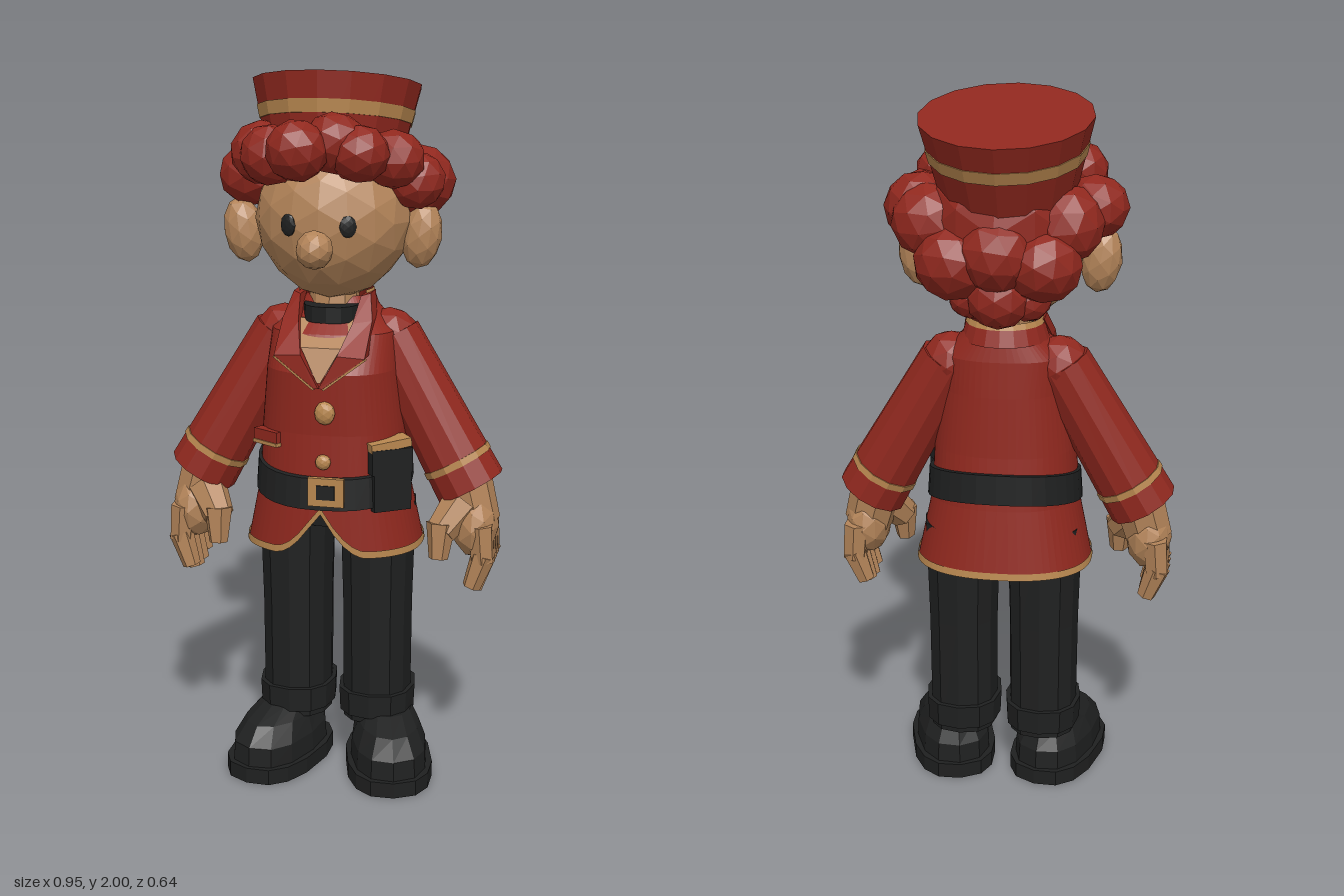
import * as THREE from 'three';

const material = (name, color) => Object.assign(
  new THREE.MeshStandardMaterial({ color, flatShading: true, side: THREE.DoubleSide }), { name });

export function createModel() {
  const red = material('red', 0x90281e);
  const skin = material('skin', 0xb38459);
  const gold = material('gold', 0xb8874f);
  const black = material('black', 0x1f2020);
  const model = new THREE.Group();
  model.name = 'uniformedFigure';

  const add = (name, geometry, mat, parent = model) => {
    const mesh = new THREE.Mesh(geometry, mat);
    mesh.name = name;
    parent.add(mesh);
    return mesh;
  };

  // Superellipse ring; y may be a function of x and z
  const ring = (y, rx, rz, cx = 0, cz = 0, n = 16, p = 2) => {
    const pts = [];
    const bend = (v) => Math.sign(v) * Math.pow(Math.abs(v), 2 / p);
    for (let i = 0; i < n; i++) {
      const a = (i / n) * Math.PI * 2;
      const x = cx + rx * bend(Math.sin(a)), z = cz + rz * bend(Math.cos(a));
      pts.push(new THREE.Vector3(x, typeof y === 'function' ? y(x, z) : y, z));
    }
    return pts;
  };

  // Skin between rings from bottom to top, with optional end caps
  const loft = (rings, caps = true) => {
    const out = [], n = rings[0].length;
    const tri = (...p) => p.forEach((v) => out.push(v.x, v.y, v.z));
    for (let i = 0; i + 1 < rings.length; i++) for (let j = 0; j < n; j++) {
      const k = (j + 1) % n, a = rings[i], b = rings[i + 1];
      tri(a[j], a[k], b[k]);
      tri(a[j], b[k], b[j]);
    }
    if (caps) for (const [r, up] of [[rings[0], false], [rings[rings.length - 1], true]]) {
      const c = r.reduce((s, v) => s.add(v), new THREE.Vector3()).divideScalar(n);
      for (let j = 0; j < n; j++) {
        const k = (j + 1) % n;
        if (up) tri(c, r[j], r[k]); else tri(c, r[k], r[j]);
      }
    }
    const g = new THREE.BufferGeometry();
    g.setAttribute('position', new THREE.Float32BufferAttribute(out, 3));
    g.computeVertexNormals();
    return g;
  };

  // Tapered limb between two points
  const limb = (name, a, b, r0, r1, mat, sides = 7) => {
    const p = new THREE.Vector3(...a), q = new THREE.Vector3(...b), d = q.clone().sub(p);
    const mesh = add(name, new THREE.CylinderGeometry(r1, r0, d.length(), sides), mat);
    mesh.position.copy(p).add(q).multiplyScalar(0.5);
    mesh.quaternion.setFromUnitVectors(new THREE.Vector3(0, 1, 0), d.normalize());
    return mesh;
  };

  // Faceted ellipsoid
  const blob = (name, [x, y, z], [sx, sy, sz], mat) => {
    const mesh = add(name, new THREE.IcosahedronGeometry(1, 1), mat);
    mesh.position.set(x, y, z);
    mesh.scale.set(sx, sy, sz);
    return mesh;
  };

  const box = (name, [x, y, z], [w, h, d], mat, turn = 0) => {
    const mesh = add(name, new THREE.BoxGeometry(w, h, d), mat);
    mesh.position.set(x, y, z);
    mesh.rotation.y = turn;
    return mesh;
  };

  // Legs, cuffs and splayed shoes
  for (const s of [-1, 1]) {
    const x = s * 0.118 + 0.006;
    add('trouserLeg', loft([ring(0.15, 0.098, 0.112, x, -0.022, 12, 2.4), ring(0.5, 0.1, 0.114, x, -0.022, 12, 2.4),
      ring(0.8, 0.108, 0.12, x, -0.02, 12, 2.4)]), black);
    add('trouserCuff', loft([ring(0.17, 0.108, 0.124, x, -0.022, 12, 2.4),
      ring(0.24, 0.111, 0.126, x, -0.022, 12, 2.4)]), black);
    const shoe = new THREE.Group();
    shoe.name = 'shoe';
    shoe.position.set(s * 0.149 + 0.01, 0, 0);
    shoe.rotation.y = s * 0.27;
    model.add(shoe);
    add('sole', loft([ring(0, 0.124, 0.197, 0, 0.05, 14, 2.5), ring(0.045, 0.124, 0.197, 0, 0.05, 14, 2.5)]), black, shoe);
    add('shoeUpper', loft([ring(0.04, 0.11, 0.185, 0, 0.05, 12, 2.4), ring(0.1, 0.107, 0.18, 0, 0.05, 12, 2.4),
      ring(0.15, 0.088, 0.145, 0, 0.04, 12), ring(0.18, 0.07, 0.1, 0, 0, 12)]), black, shoe);
  }
  add('trouserSeat', loft([ring(0.74, 0.17, 0.11, 0.005, -0.02, 14), ring(0.86, 0.16, 0.12, 0, -0.01, 14)]), black);

  // Jacket with a parted, gold-edged skirt
  const body = (y, rx, front, back) => ring(y, rx, (front - back) / 2, 0.004, (front + back) / 2, 64, 2.4);
  const hem = (lift) => (x, z) => 0.69 + lift + (z > 0 ? 0.13 * Math.max(0, 1 - Math.abs(x) / 0.13) ** 1.8 : 0);
  add('jacket', loft([body(hem(0), 0.248, 0.19, -0.2), body(0.88, 0.208, 0.185, -0.172), body(1.03, 0.2, 0.18, -0.155),
    body(1.2, 0.183, 0.187, -0.145), body(1.3, 0.175, 0.135, -0.138), body(1.35, 0.12, 0.07, -0.13),
    body(1.39, 0.085, 0.04, -0.115)], false), red);
  add('jacketHem', loft([body(hem(-0.004), 0.252, 0.194, -0.204), body(hem(0.016), 0.249, 0.194, -0.201)], false), gold);

  // Neck, open shirt front and choker
  add('neck', loft([ring(1.28, 0.075, 0.07, 0, 0.01, 10), ring(1.46, 0.065, 0.065, 0, -0.01, 10)]), skin);
  const choker = (y) => ring(y, 0.08, 0.1, 0.003, 0.02, 14, 2.4);
  add('choker', loft([choker(1.328), choker(1.372)]), black);

  // Slab lofted through rows of inner and outer front points
  const slab = (rows, depth) => loft(rows.map(([a, b]) => [new THREE.Vector3(...a), new THREE.Vector3(...b),
    new THREE.Vector3(b[0], b[1], b[2] - depth), new THREE.Vector3(a[0], a[1], a[2] - depth)]));
  add('openNeckline', slab([[[-0.005, 1.18, 0.196], [0.005, 1.18, 0.196]], [[-0.055, 1.27, 0.168], [0.055, 1.27, 0.168]],
    [[-0.08, 1.335, 0.085], [0.08, 1.335, 0.085]]], 0.04), skin);
  for (const s of [-1, 1]) {
    const side = (rows) => rows.map(([a, b]) => {
      const pair = [a, b].map(([x, y, z]) => [s * x, y, z]);
      return s > 0 ? pair : pair.reverse();
    });
    add('lapel', slab(side([[[0, 1.165, 0.2], [0.012, 1.165, 0.2]], [[0.05, 1.255, 0.195], [0.125, 1.25, 0.19]],
      [[0.075, 1.33, 0.115], [0.125, 1.335, 0.09]], [[0.085, 1.395, 0.05], [0.108, 1.4, 0.03]]]), 0.07), red);
    add('lapelTrim', slab(side([[[0.01, 1.163, 0.201], [0.016, 1.161, 0.201]],
      [[0.122, 1.248, 0.192], [0.128, 1.246, 0.191]]]), 0.02), gold);
  }
  const collar = (name, top, bottom, y, h, mat) => {
    const mesh = add(name, new THREE.CylinderGeometry(top, bottom, h, 12, 1, true, 1.1, Math.PI * 2 - 2.2), mat);
    mesh.position.set(0, y, -0.03);
  };
  collar('collar', 0.102, 0.122, 1.375, 0.06, red);
  collar('collarTrim', 0.103, 0.109, 1.398, 0.016, gold);

  // Belt, buckle, pouch, pocket and buttons
  const belt = (h, g) => ring((x, z) => 0.91 - 0.21 * z + h, 0.214 + g, 0.192 + g, 0.004, 0.006, 32, 2.4);
  add('belt', loft([belt(-0.043, 0.006), belt(0.043, 0)]), black);
  box('buckle', [0.022, 0.877, 0.2], [0.1, 0.08, 0.016], gold);
  box('buckleCentre', [0.022, 0.877, 0.208], [0.05, 0.04, 0.006], black);
  box('pouch', [0.182, 0.885, 0.125], [0.11, 0.13, 0.055], black, 0.6);
  box('pouchFlap', [0.18, 0.96, 0.125], [0.12, 0.07, 0.06], black, 0.6);
  box('pouchTrim', [0.177, 1.005, 0.125], [0.118, 0.024, 0.06], gold, 0.6).rotation.z = 0.1;
  box('pocketFlap', [-0.155, 1.01, 0.135], [0.09, 0.035, 0.03], red, -0.55);
  box('pocketTrim', [-0.155, 0.992, 0.137], [0.092, 0.01, 0.034], gold, -0.55);
  blob('upperButton', [0.015, 1.095, 0.186], [0.029, 0.033, 0.018], gold);
  blob('lowerButton', [0.01, 0.957, 0.186], [0.022, 0.022, 0.015], gold);

  // Sleeves and curled hands
  for (const s of [-1, 1]) {
    const at = (t) => [s * (0.155 + 0.235 * t), 1.275 - 0.415 * t, -0.03 + 0.025 * t];
    blob('shoulder', [s * 0.15, 1.27, -0.03], [0.083, 0.083, 0.085], red);
    limb('sleeve', at(0), at(1), 0.083, 0.1, red, 12);
    limb('sleeveStripe', at(0.81), at(0.85), 0.1, 0.1005, gold, 12);
    limb('wrist', [s * 0.372, 0.89, 0], [s * 0.408, 0.76, 0.01], 0.076, 0.07, skin, 8);
    blob('palm', [s * 0.408, 0.755, 0.012], [0.066, 0.095, 0.092], skin);
    [-0.055, -0.014, 0.028, 0.068].forEach((z, i) => {
      const drop = [0.02, 0.005, 0, 0.015][i];
      limb('fingerBase', [s * 0.43, 0.77, z], [s * 0.438, 0.665, z], 0.037, 0.034, skin, 6);
      limb('fingerTip', [s * 0.44, 0.685, z], [s * 0.408, 0.575 + drop, z + 0.005], 0.036, 0.026, skin, 6);
    });
    limb('thumbBase', [s * 0.37, 0.82, 0.035], [s * 0.32, 0.75, 0.085], 0.058, 0.044, skin, 7);
    limb('thumbTip', [s * 0.322, 0.775, 0.085], [s * 0.318, 0.675, 0.1], 0.042, 0.027, skin, 6);
  }

  // Head with a narrowed jaw
  const skull = new THREE.IcosahedronGeometry(1, 2), p = skull.attributes.position;
  for (let i = 0; i < p.count; i++) {
    const low = Math.max(0, -p.getY(i));
    p.setX(i, p.getX(i) * (1 - 0.15 * low * low));
  }
  skull.computeVertexNormals();
  const head = add('head', skull, skin);
  head.position.set(0, 1.6, 0);
  head.scale.set(0.218, 0.222, 0.198);
  blob('nose', [0, 1.545, 0.235], [0.05, 0.052, 0.056], skin);
  for (const s of [-1, 1]) {
    blob('ear', [s * 0.25 - 0.008, 1.56, 0], [0.056, 0.092, 0.05], skin).rotation.z = s * -0.15;
    const eye = blob('eye', [s * 0.081 - 0.004, 1.6, 0.178], [0.024, 0.03, 0.009], black);
    eye.rotation.y = s * 0.4;
  }

  // Hair mass and curls: x, y, z, radius
  blob('hairMass', [0, 1.67, -0.085], [0.205, 0.2, 0.165], red);
  const curls = [[-0.24, 1.71, -0.03, 0.093], [0.22, 1.7, -0.05, 0.105], [0.23, 1.71, 0.03, 0.08],
    [-0.18, 1.78, 0.08, 0.088], [-0.14, 1.78, 0.15, 0.082], [-0.045, 1.8, 0.24, 0.083],
    [0.04, 1.815, 0.17, 0.085], [0.105, 1.79, 0.175, 0.082], [0.18, 1.77, 0.09, 0.085],
    [-0.12, 1.58, -0.17, 0.105], [0.12, 1.58, -0.17, 0.105], [0, 1.61, -0.19, 0.105], [0, 1.49, -0.16, 0.088],
    [-0.17, 1.68, -0.11, 0.105], [0.19, 1.68, -0.11, 0.105], [-0.075, 1.48, -0.13, 0.065], [0.075, 1.48, -0.13, 0.065]];
  curls.forEach(([x, y, z, r], i) => {
    blob('hairCurl', [x, y, z], [r, r * 0.93, r], red).rotation.set(i * 0.4, i * 1.7, 0);
  });

  // Flared cap, tipped backwards
  const cap = new THREE.Group();
  cap.name = 'cap';
  cap.position.set(-0.01, 1.954, -0.083);
  cap.rotation.x = -0.19;
  model.add(cap);
  const capRing = (y, g = 0) => ring(y, 0.232 + 0.24 * y + g, 0.249 + 0.26 * y + g, 0, 0, 16);
  add('capCrown', loft([capRing(-0.24), capRing(0)]), red, cap);
  add('capBand', loft([capRing(-0.105, 0.003), capRing(-0.07, 0.003)]), gold, cap);
  return model;
}
